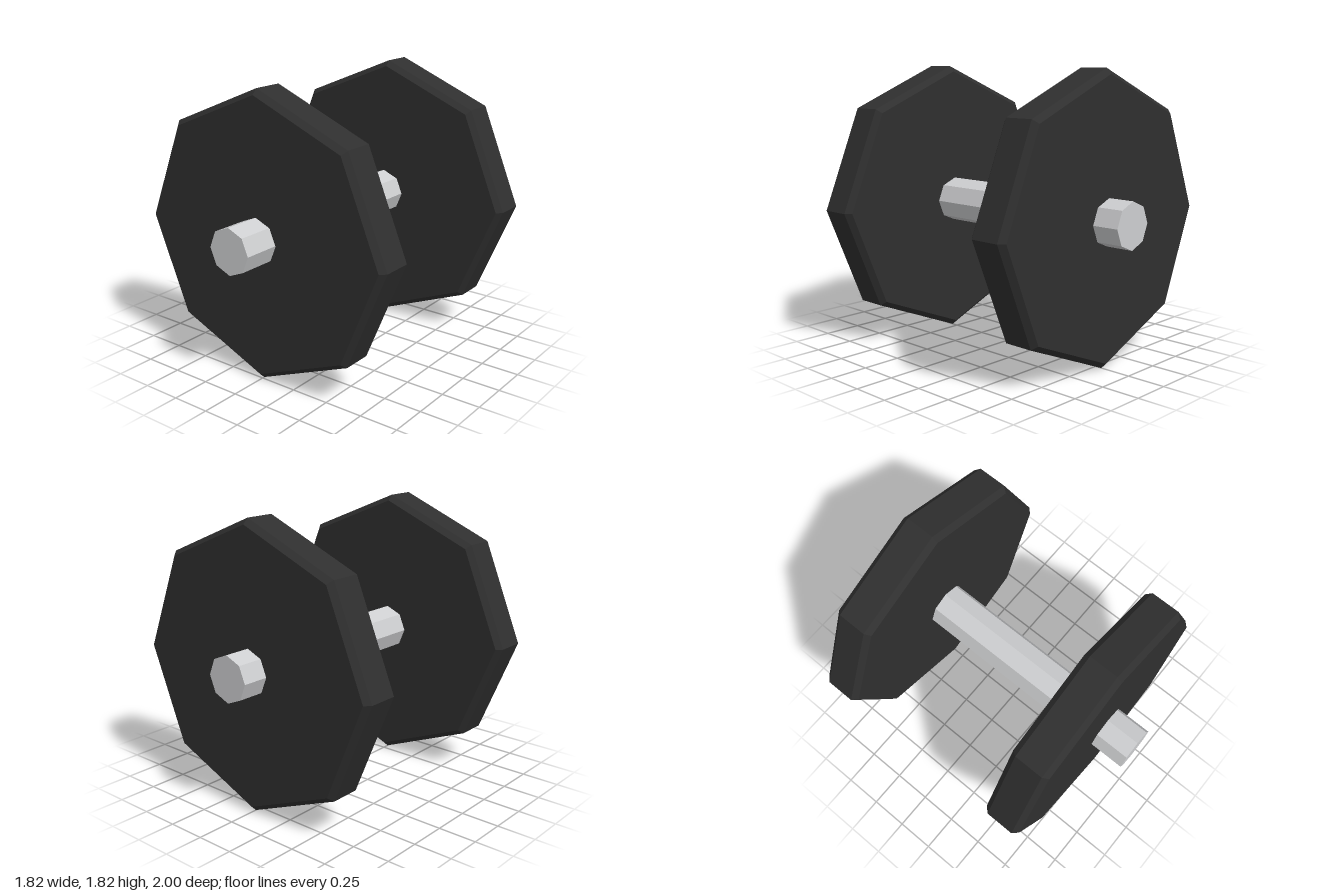
import * as THREE from 'three';

const CENTER_Y = 0.91;
const SIDES = 8;

export function createModel() {
  const steel = new THREE.MeshStandardMaterial({ color: 0xcdced0 });
  steel.name = 'lightSteel';
  const rubber = new THREE.MeshStandardMaterial({ color: 0x2f2f2f });
  rubber.name = 'blackRubber';
  steel.flatShading = rubber.flatShading = true;

  const model = new THREE.Group();
  model.name = 'dumbbell';

  // Octagonal handle bar running front to back
  const barGeometry = new THREE.CylinderGeometry(0.147, 0.147, 2, SIDES).rotateX(Math.PI / 2);
  const bar = new THREE.Mesh(barGeometry, steel);
  bar.name = 'handleBar';
  bar.position.set(-0.007, CENTER_Y, 0);
  model.add(bar);

  // Chamfered octagonal weight with a bore for the bar
  const hole = 0.147, radius = 0.91, half = 0.13, bevel = 0.035;
  const profile = [
    [hole, -half], [radius - bevel, -half], [radius, -half + bevel],
    [radius, half - bevel], [radius - bevel, half], [hole, half], [hole, -half],
  ].map(([r, h]) => new THREE.Vector2(r, h));
  const weightGeometry = new THREE.LatheGeometry(profile, SIDES).rotateX(Math.PI / 2);

  for (const [name, z] of [['frontWeight', 0.64], ['backWeight', -0.7]]) {
    const weight = new THREE.Mesh(weightGeometry, rubber);
    weight.name = name;
    weight.position.set(0, CENTER_Y, z);
    model.add(weight);
  }
  return model;
}
